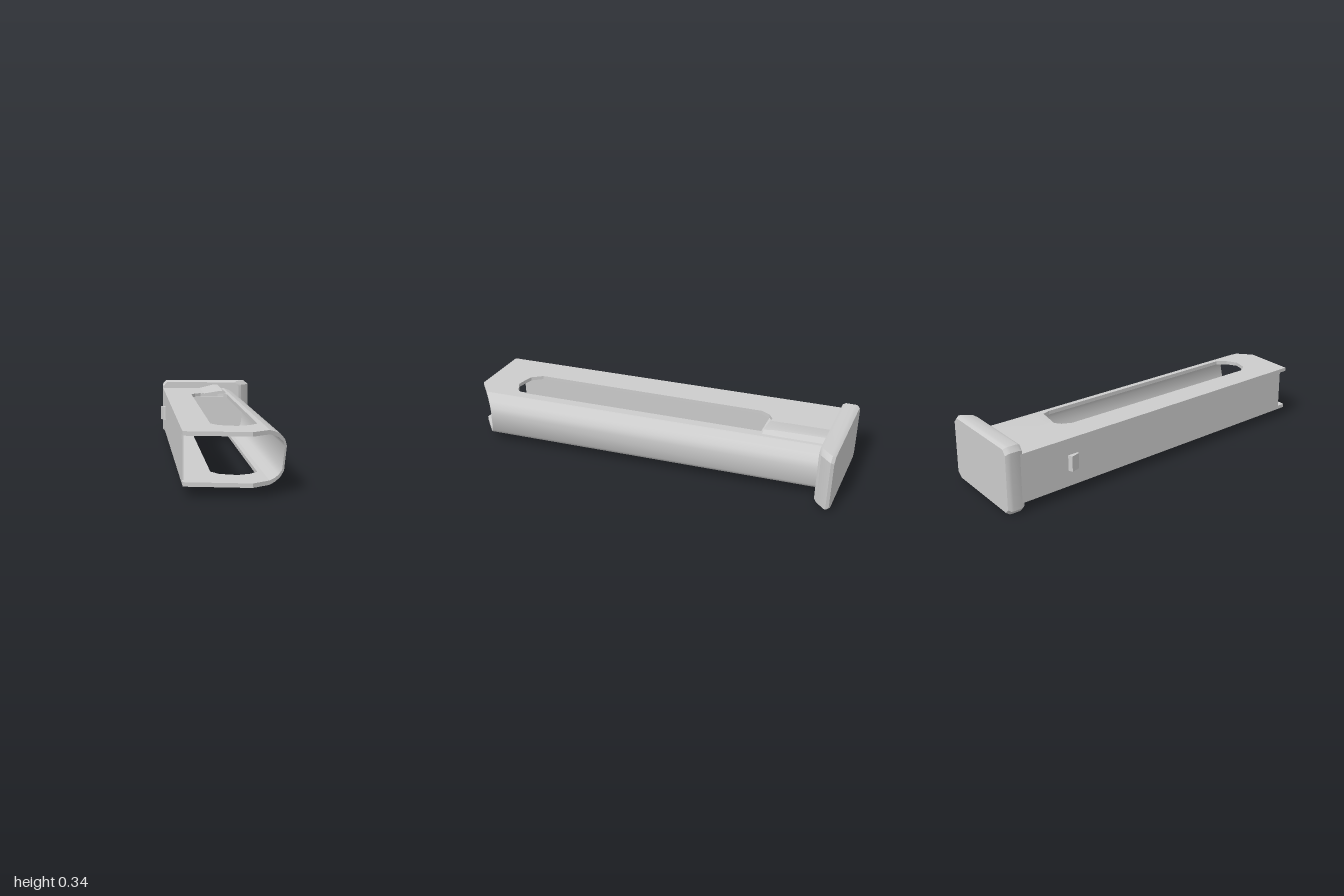
import * as THREE from 'three';
import { toCreasedNormals } from 'three/addons/utils/BufferGeometryUtils.js';

const SLANT = 0.127; // sideways lean of the tube per unit of z
const BACK = -0.93;

// Solid through a series of counter-clockwise rings running from back to front
function loft(rings, crease = 0.7) {
  const n = rings[0].length;
  const index = [];
  for (let i = 0; i < rings.length - 1; i++) {
    for (let j = 0; j < n; j++) {
      const k = (j + 1) % n;
      const a = i * n + j, b = i * n + k, c = b + n, d = a + n;
      index.push(a, b, c, a, c, d);
    }
  }
  const cap = (ring, start, flip) => {
    const outline = ring.map(([x, y]) => new THREE.Vector2(x, y));
    for (const [a, b, c] of THREE.ShapeUtils.triangulateShape(outline, [])) {
      index.push(start + a, start + (flip ? c : b), start + (flip ? b : c));
    }
  };
  cap(rings[0], 0, true);
  cap(rings[rings.length - 1], (rings.length - 1) * n, false);
  const g = new THREE.BufferGeometry();
  g.setAttribute('position', new THREE.Float32BufferAttribute(rings.flat(2), 3));
  g.setIndex(index);
  return toCreasedNormals(g, crease);
}

// Flat plate from an outline in (x, z), raised from y0 to y1
function plate(outline, y0, y1, hole) {
  const toPoints = (pts) => pts.map(([x, z]) => new THREE.Vector2(x, -z));
  const shape = new THREE.Shape(toPoints(outline));
  if (hole) shape.holes.push(new THREE.Path(toPoints(hole)));
  const g = new THREE.ExtrudeGeometry(shape, { depth: y1 - y0, bevelEnabled: false });
  return g.rotateX(-Math.PI / 2).translate(0, y0, 0);
}

export function createModel() {
  const model = new THREE.Group();
  const material = new THREE.MeshStandardMaterial({ color: 0xcccccc, side: THREE.DoubleSide });
  const lean = new THREE.Matrix4().makeShear(0, 0, 0, 0, SLANT, 0);

  const add = (name, geometry, parent) => {
    const mesh = new THREE.Mesh(geometry, material);
    mesh.name = name;
    parent.add(mesh);
  };
  const tube = new THREE.Group();
  tube.name = 'slantedTube';
  model.add(tube);
  const addLeaning = (name, g) => add(name, g.applyMatrix4(lean), tube);

  // Top and bottom walls with a long slot and projecting front lips
  const outline = [[-0.234, BACK], [0.157, BACK], [0.157, 0.932], [0.073, 1], [-0.234, 0.98]];
  const slot = [
    [-0.08, -0.52], [-0.055, -0.57], [-0.02, -0.595], [0.085, -0.595], [0.12, -0.575], [0.135, -0.53],
    [0.132, 0.73], [0.092, 0.78], [0.03, 0.81], [-0.01, 0.8], [-0.055, 0.785], [-0.088, 0.73],
  ];
  addLeaning('topWall', plate(outline, 0.275, 0.295, slot));
  addLeaning('bottomWall', plate(outline, 0.047, 0.067, slot));

  // Rounded side wall, cut back diagonally at the mouth
  const outer = [
    [0.157, 0.047], [0.185, 0.057], [0.212, 0.073], [0.232, 0.1],
    [0.246, 0.213], [0.236, 0.245], [0.212, 0.272], [0.185, 0.285], [0.157, 0.295],
  ];
  const inner = [
    [0.157, 0.275], [0.18, 0.268], [0.204, 0.256], [0.226, 0.236],
    [0.236, 0.21], [0.222, 0.106], [0.204, 0.086], [0.18, 0.073], [0.157, 0.067],
  ];
  const wall = [...outer, ...inner];
  addLeaning('roundedWall', loft([
    wall.map(([x, y]) => [x, y, BACK]),
    wall.map(([x, y]) => [x, y, 1 - (x - 0.073) * 0.81]),
  ]));

  // Thin flat wall on the other side, stopping short of the lips
  addLeaning('flatWall', plate([[-0.234, BACK], [-0.227, BACK], [-0.227, 0.93], [-0.234, 0.93]], 0.067, 0.275));

  // Block inside the tube, just past the end of the slot
  const block = [[-0.228, 0.067], ...inner.slice().reverse(), [-0.228, 0.275]];
  addLeaning('innerBlock', loft([-0.9, -0.57].map((z) => block.map(([x, y]) => [x, y, z]))));

  // Low ridge on top between slot and base
  addLeaning('topRidge', loft([BACK, -0.65, -0.59].map((z, i) => {
    const y = [0.318, 0.315, 0.308][i];
    return [[-0.02, 0.29, z], [0.145, 0.29, z], [0.115, y, z], [0.09, y, z]];
  }), 0.3));

  // Small wedge catch on the flat side
  addLeaning('sideCatch', plate([[-0.23, -0.65], [-0.26, -0.64], [-0.247, -0.595], [-0.23, -0.58]], 0.13, 0.21));

  // Base plate with clipped corners, narrowing towards the tube on one side
  const ring = (x0, x1, y0, y1, z) => [
    [x0 + 0.022, y0, z], [x1 - 0.035, y0, z], [x1, y0 + 0.025, z], [x1, y1 - 0.025, z],
    [x1 - 0.028, y1, z], [x0 + 0.022, y1, z], [x0, y1 - 0.025, z], [x0, y0 + 0.022, z],
  ];
  add('basePlate', loft([
    ring(-0.35, 0.188, 0.01, 0.33, -1),
    ring(-0.357, 0.198, 0.001, 0.339, -0.985),
    ring(-0.357, 0.192, 0, 0.34, -0.972),
    ring(-0.352, 0.155, 0, 0.34, -0.925),
    ring(-0.346, 0.138, 0.008, 0.332, -0.91),
  ], 0.6), model);
  return model;
}
